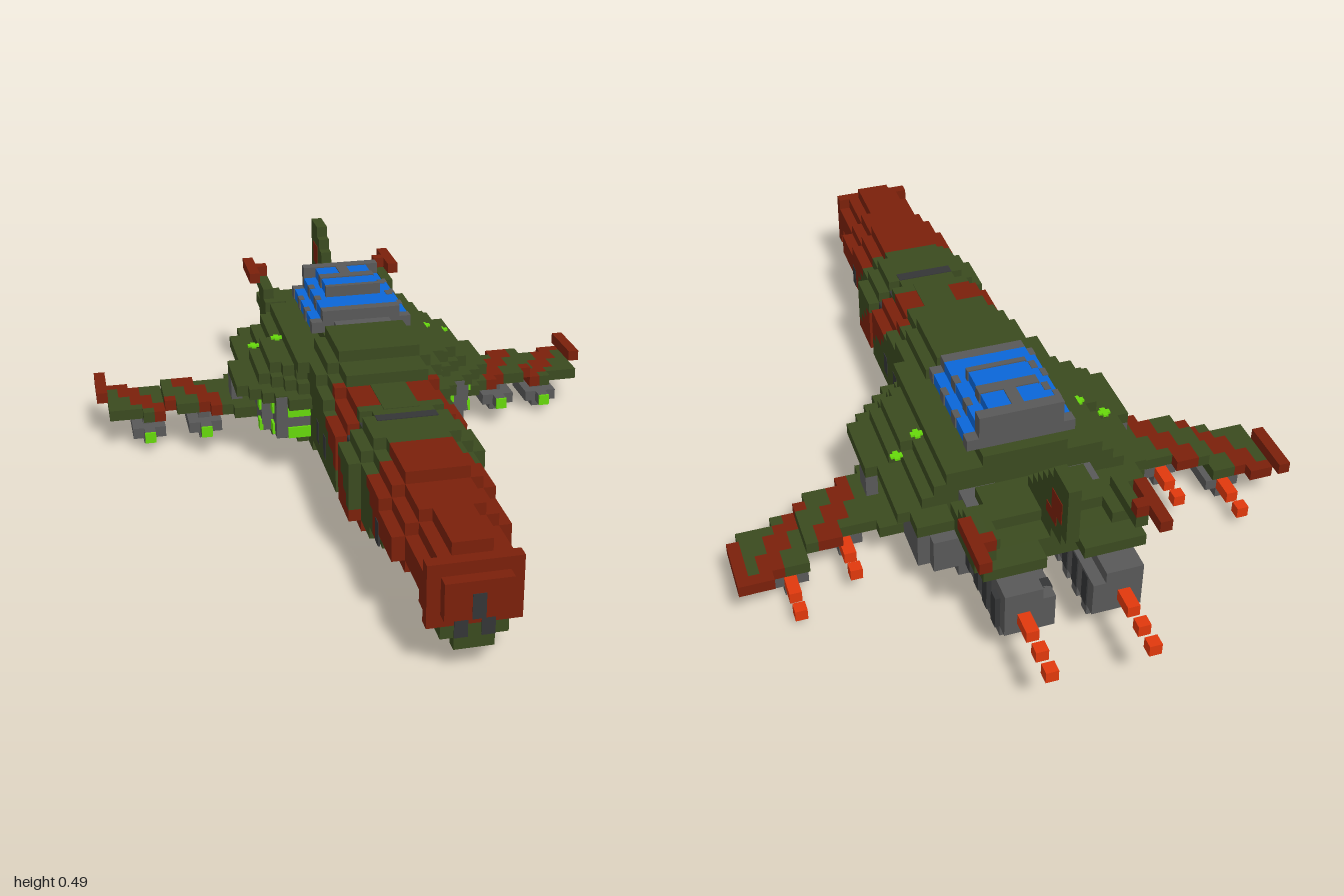
import * as THREE from 'three';
import { mergeGeometries } from 'three/addons/utils/BufferGeometryUtils.js';

const U = 2 / 65; // size of one block
const paint = (name, color) => {
  const m = new THREE.MeshStandardMaterial({ color });
  m.name = name;
  return m;
};

// Boxes in block units: any box, one centred on x = 0, and a mirrored pair
const box = (x0, x1, y0, y1, z0, z1) =>
  new THREE.BoxGeometry((x1 - x0) * U, (y1 - y0) * U, (z1 - z0) * U)
    .translate((x0 + x1) / 2 * U, (y0 + y1) / 2 * U, (z0 + z1) / 2 * U);
const mid = (w, y0, y1, z0, z1) => box(-w, w, y0, y1, z0, z1);
const pair = (x0, x1, ...yz) => [box(x0, x1, ...yz), box(-x1, -x0, ...yz)];

// Fuselage outline along z
const hullWidth = (z) => (z > 31.5 ? 2.5 : z > 25.5 ? 3.5 : z > 15.5 || z === 11 ? 4.5 : 5.5);
const hullBottom = (z) => (z > 31.5 ? 5 : z > 29.5 ? 4 : z > 20.5 ? 5 : z > 18.5 ? 4 : 3);
const hullTop = (z) => (z > 31.5 ? 8 : z > 30.5 ? 9 : z > 21.5 ? 10 : z > 5.5 ? 11 : z > 2.5 ? 12 : 13);

// Slanted camouflage: red nose, green band, red band, green rear
const isRedHull = (row, z) => {
  const k = row - 3;
  const secondBand = z < 17 - k * 1.1 && z > 12.5 - k * 1.15;
  return row < 11 && (z > 21 - k * 0.65 || secondBand);
};

export function createModel() {
  const group = new THREE.Group();
  const green = paint('olive green', 0x3a4a1f);
  const red = paint('rust red', 0x7a200a);
  const grey = paint('steel grey', 0x585858);
  const dark = paint('dark grey', 0x343536);
  const blue = paint('canopy blue', 0x0a66d8);
  const lime = paint('lime', 0x66d80a);
  const orange = paint('flame orange', 0xe0380c);

  const part = (name, mat, ...geometries) => {
    const mesh = new THREE.Mesh(mergeGeometries(geometries.flat()), mat);
    mesh.name = name;
    group.add(mesh);
  };

  // Fuselage: stacked rows, narrower at the bottom and towards the top
  const hullRed = [], hullGreen = [];
  for (let z = 32; z >= -15; z--) {
    const bottom = hullBottom(z), top = hullTop(z) - (z < -3.5 ? 1 : 0);
    for (let row = bottom; row < top; row++) {
      const inset = z > 30.5 ? 0 : Math.max(row === bottom ? 1 : 0, 3 - top + row);
      const slab = mid(hullWidth(z) - inset, row, row + 1, z - 0.5, z + 0.5);
      (isRedHull(row, z) ? hullRed : hullGreen).push(slab);
    }
  }
  part('hullRed', red, hullRed);
  part('hullGreen', green, hullGreen);
  part('spineStripe', green, mid(1.5, 10.9, 11.06, 3.5, 10.5));

  // Shoulders and belly spread out behind the nose
  const shoulders = [];
  for (let z = 0; z >= -15; z--) {
    const reach = Math.min(z < -9.5 ? 10.5 : 11.5, 7.5 - z);
    const layer = (w, row) => shoulders.push(mid(Math.max(w, 5.5), row, row + 1, z - 0.5, z + 0.5));
    layer(reach - 3, 3);
    layer(reach, 7);
    layer(reach - 2, 8);
    layer(reach - 3, 9);
    layer(Math.min(reach - 2, 6.5), 10);
  }
  part('shoulders', green, shoulders, pair(6.5, 9.5, 7, 8, -17.5, -15.5));
  part('rearDeck', green, mid(6.5, 7, 9, -22.5, -16.5), mid(4.5, 9, 10, -20.5, -16.5));
  part('belly', green, mid(8.5, 2, 3, -13.5, -7.5), mid(3.5, 1, 2, -12.5, -8.5),
    [0, 2, 5].map((z) => mid(2.5, 2, 3, z - 0.5, z + 0.5)));
  part('chin', green, mid(1.5, 2, 4, 30.5, 31.5), mid(2.5, 3, 4, 29.5, 31.5));
  part('noseVents', dark, mid(0.5, 5, 7, 32.4, 32.54), pair(0.5, 1.5, 3, 5, 31.4, 31.6));
  part('sideVents', dark, [3, 6, 21].map((z) => {
    const w = hullWidth(z);
    return pair(w - 0.1, w + 0.04, 5, 7, z - 0.5, z + 0.5);
  }).flat());
  part('neckRing', dark, mid(2.5, 10.9, 11.06, 11.5, 12.5), pair(4.4, 4.54, 6, 9, 10.5, 11.5),
    pair(3.4, 4.5, 8.9, 9.06, 10.5, 11.5), pair(2.5, 3.5, 9.9, 10.06, 10.5, 11.5));

  // Wing root plates and posts beside the intakes
  part('wingRoots', green, pair(8.5, 11.5, 4, 5, -13.5, -5.5));
  part('shoulderPosts', grey, pair(10.5, 11.5, 5, 7, -9.5, -7.5));

  // Engine nacelles with glowing intakes
  part('nacelles', grey, pair(5.5, 8.5, 4, 7, -18.5, -0.5), pair(8.5, 9.5, 4, 7, -17.5, -2.5),
    pair(5.5, 8.5, 7, 7.9, -0.5, -0.4), pair(2.5, 5.5, 7, 9.1, -18.5, -15.5));
  part('engines', grey, pair(1.5, 6.5, 3, 7, -18.5, -14.5), pair(1.5, 5.5, 4, 7, -26.5, -18.5),
    pair(2.5, 5.5, 7, 8, -26.5, -22.5));
  part('intakeLamps', lime, [4, 6].map((y) => [
    pair(5.5, 7.5, y, y + 1, -0.5, -0.3), pair(8.4, 8.7, y, y + 1, -2.5, -1.5),
    pair(9.4, 9.7, y, y + 1, -3.5, -2.5)].flat()).flat());
  const finZ = [-19, -21, -23, -25];
  part('engineFins', dark, finZ.map((z) => pair(1.4, 5.9, 4, 7, z - 0.5, z + 0.5)).flat());
  part('engineKeels', grey, finZ.map((z) => pair(1.5, 5.5, 3, 4, z - 0.5, z + 0.5)).flat());
  part('engineFlames', orange, pair(3.5, 4.5, 5, 6, -28.5, -26.5),
    pair(3.5, 4.5, 5, 6, -30.5, -29.5), pair(3.5, 4.5, 5, 6, -32.5, -31.5));

  // Canopy: blue glass behind a grey front frame, with ribs and a rear wall
  part('canopyGlass', blue, mid(4.4, 12, 13, -13.5, -5.5), mid(3.5, 13, 14, -13.5, -5.5),
    mid(2.4, 14, 14.9, -13.5, -8.4));
  const ribs = [-8, -11].map((z) => [pair(4, 4.5, 12, 13.05, z - 0.5, z + 0.5),
    pair(3, 3.55, 13, 14.05, z - 0.5, z + 0.5)].flat()).flat();
  part('canopyFrame', grey, ribs, mid(2.5, 12, 13, -4.5, -3.5), mid(4.5, 12, 13, -5.5, -4.5),
    mid(3.5, 13, 14, -5.5, -4.5), mid(2.5, 14, 15, -8.5, -8), mid(2.5, 14, 15, -11.5, -10.5),
    mid(0.5, 14, 15, -13.5, -11.5), mid(4.5, 12, 13, -14.5, -13.5), mid(3.5, 13, 15, -14.5, -13.5));

  // Small lime crosses on the shoulders
  const cross = (x, y, z) => [pair(x - 0.5, x + 0.5, y, y + 0.2, z - 0.22, z + 0.22),
    pair(x - 0.22, x + 0.22, y, y + 0.2, z - 0.5, z + 0.5)].flat();
  part('shoulderCrosses', lime, cross(9, 9, -10), cross(7, 10, -9));

  // Swept wings: one strip for each z step, with slanted red stripes
  const wingGreen = [], wingRed = [];
  for (let z = -7; z >= -15; z--) {
    const inner = 12 + 3 * Math.max(0, -12 - z);
    const outer = Math.min(22, 13 + 3 * (-7 - z));
    const stripes = [13 + Math.round((-z - 8) * 0.4), 18 + Math.round((-z - 10) * 0.6)];
    for (let x = inner; x <= outer; x++) {
      const row = x < 18 ? 4 : 3;
      const striped = stripes.some((s) => x === s || x === s + 1);
      (striped ? wingRed : wingGreen).push(...pair(x - 0.5, x + 0.5, row, row + 1, z - 0.5, z + 0.5));
    }
  }
  part('wingPanels', green, wingGreen);
  part('wingStripes', red, wingRed);
  part('wingTips', red, pair(22.5, 23.5, 4, 5, -16.5, -11.5));

  // Cross-shaped pods under the wings
  const addPod = (name, x, y, z) => {
    const core = (z0, z1) => pair(x - 0.5, x + 0.5, y, y + 1, z0, z1);
    part(name, grey, pair(x - 1.5, x + 1.5, y, y + 1, z, z + 4),
      pair(x - 0.5, x + 0.5, y - 1, y + 2, z, z + 3), core(z, z + 5));
    part(name + 'Lamps', lime, core(z + 5, z + 5.2));
    part(name + 'Flames', orange, core(z - 2, z), core(z - 4, z - 3));
  };
  addPod('innerPods', 14, 2, -11.5);
  addPod('outerPods', 19, 1, -13.5);

  // Swept tail fin: the leading edge steps back with each row
  const fin = [mid(0.5, 8, 10, -22.5, -16.5)];
  for (let y = 10; y < 16; y++) {
    fin.push(mid(0.5, y, y + 1, y < 11 ? -24.5 : -25.5, Math.max(-22.5, -7.5 - y)));
  }
  part('tailFin', green, fin);
  part('finStripe', red, pair(0.5, 0.55, 12, 14, -24.5, -22.5), pair(0.5, 0.55, 11, 12, -23.5, -21.5));

  // Tailplane with raised red tips
  part('tailplane', green, pair(1.5, 6.5, 8, 9, -24.5, -22.5), pair(4.5, 6.5, 9, 10, -22.5, -18.5),
    pair(5.5, 6.5, 10, 11, -24.5, -19.5));
  part('tailTips', red, pair(6.5, 7.5, 11, 12, -26.5, -21.5), pair(5.5, 6.5, 11, 12, -24.5, -23.5));
  return group;
}
